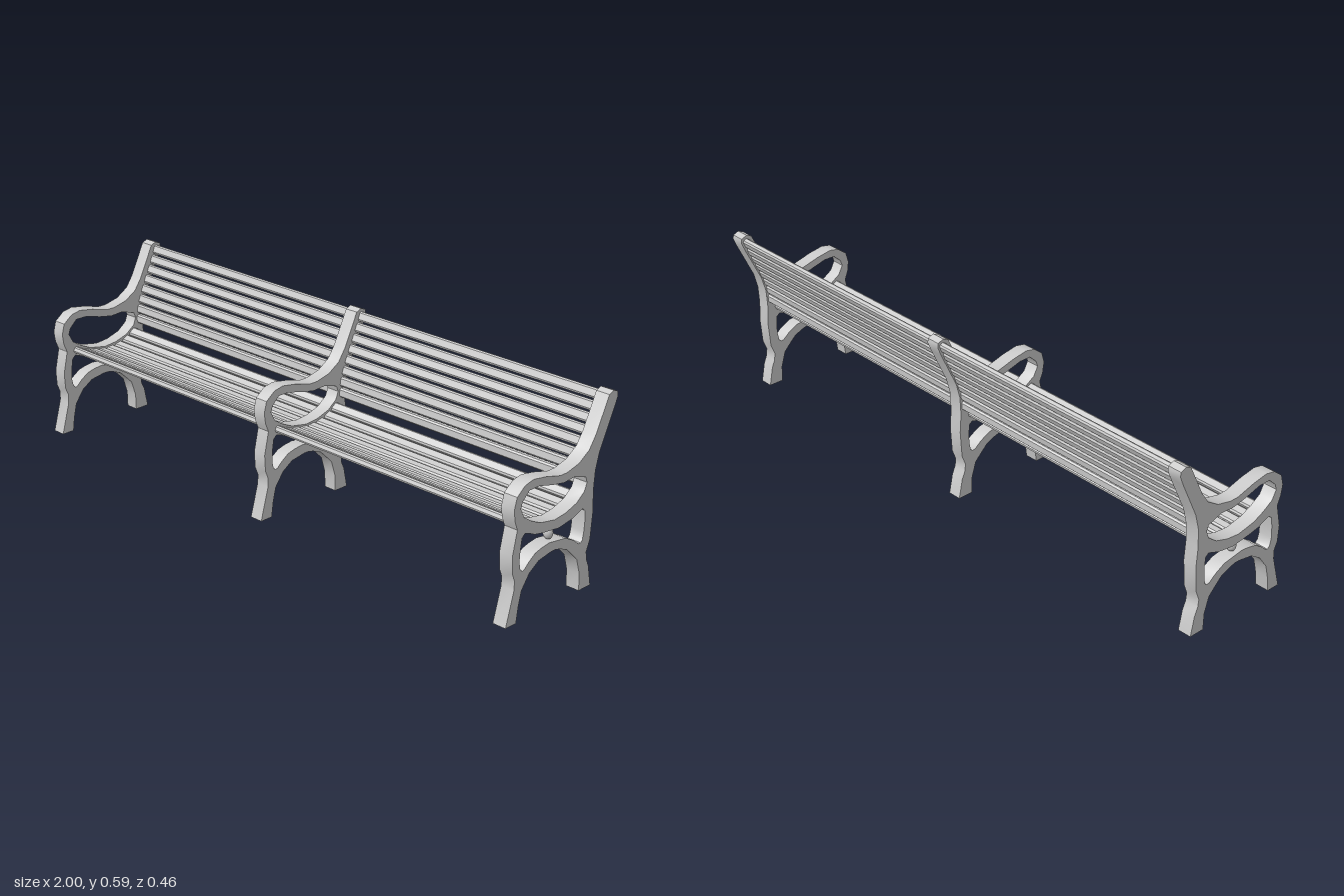
import * as THREE from 'three';
import { toCreasedNormals } from 'three/addons/utils/BufferGeometryUtils.js';

const material = new THREE.MeshStandardMaterial({ color: 0xcccccc });
const points = (list) => list.map(([z, y]) => new THREE.Vector2(z, y));

// Side profile of a cast frame, as [z, y]
const outline = [
  [0.23, 0], [0.185, 0], [0.178, 0.05], [0.167, 0.095], [0.135, 0.138], [0.096, 0.163],
  [0.042, 0.172], [0.026, 0.172], [0.004, 0.167], [-0.03, 0.153], [-0.051, 0.133],
  [-0.078, 0.106], [-0.094, 0.054], [-0.095, 0], [-0.148, 0], [-0.135, 0.065],
  [-0.124, 0.09], [-0.121, 0.115], [-0.135, 0.15], [-0.142, 0.238], [-0.138, 0.3],
  [-0.142, 0.362], [-0.156, 0.413], [-0.215, 0.535], [-0.228, 0.565], [-0.226, 0.579],
  [-0.206, 0.587], [-0.187, 0.579], [-0.135, 0.474], [-0.108, 0.435], [-0.065, 0.408],
  [-0.013, 0.396], [0.017, 0.396], [0.081, 0.413], [0.135, 0.422], [0.17, 0.415],
  [0.203, 0.39], [0.213, 0.354], [0.208, 0.319], [0.196, 0.29], [0.213, 0.215],
  [0.21, 0.162], [0.199, 0.135], [0.2, 0.106],
];
const armOpening = [
  [0.185, 0.349], [0.178, 0.369], [0.151, 0.394], [0.11, 0.394], [0.049, 0.378], [0, 0.369],
  [-0.047, 0.372], [-0.099, 0.356], [-0.106, 0.337], [-0.096, 0.312], [-0.063, 0.287],
  [-0.015, 0.272], [0.033, 0.267], [0.096, 0.279], [0.135, 0.297], [0.169, 0.319],
];
const lowerOpening = [
  [0.162, 0.269], [0.144, 0.263], [0.119, 0.251], [0.083, 0.244], [0.012, 0.235],
  [-0.049, 0.244], [-0.092, 0.26], [-0.103, 0.251], [-0.106, 0.215], [-0.104, 0.185],
  [-0.099, 0.16], [-0.092, 0.153], [-0.081, 0.154], [-0.056, 0.174], [-0.021, 0.192],
  [0.053, 0.203], [0.085, 0.199], [0.113, 0.192], [0.14, 0.174], [0.158, 0.158],
  [0.167, 0.154], [0.176, 0.163], [0.181, 0.187], [0.179, 0.226], [0.174, 0.258],
];

// Extrude a (z, y) shape along x, centred on x = 0
function extrudeAcross(shape, width) {
  const geometry = new THREE.ExtrudeGeometry(shape, { depth: width, bevelEnabled: false });
  geometry.translate(0, 0, -width / 2).rotateY(-Math.PI / 2);
  return toCreasedNormals(geometry, 0.6);
}

function addMesh(parent, name, geometry) {
  const mesh = new THREE.Mesh(geometry, material);
  mesh.name = name;
  parent.add(mesh);
  return mesh;
}

// Flat slat section with chamfered long edges
function slatShape(width, thickness, chamfer) {
  const w = width / 2, t = thickness / 2, c = chamfer;
  return new THREE.Shape(points([
    [-w + c, -t], [w - c, -t], [w, -t + c], [w, t - c],
    [w - c, t], [-w + c, t], [-w, t - c], [-w, -t + c],
  ]));
}

export function createModel() {
  const bench = new THREE.Group();
  bench.name = 'bench';
  const frameWidth = 0.046;

  // Three identical frames: both ends and the middle
  const frameShape = new THREE.Shape(points(outline));
  frameShape.holes.push(new THREE.Path(points(armOpening)), new THREE.Path(points(lowerOpening)));
  const frameGeometry = extrudeAcross(frameShape, frameWidth);
  const bossGeometry = new THREE.SphereGeometry(1, 16, 12).scale(0.016, 0.02, 0.0135);
  for (const [name, x] of [['right', -1], ['middle', 0], ['left', 1]]) {
    const frame = new THREE.Group();
    frame.name = name + 'Frame';
    frame.position.x = x * (1 - frameWidth / 2);
    addMesh(frame, 'castFrame', frameGeometry);
    // Small oval ornament between the seat rail and the leg arch
    addMesh(frame, 'ovalOrnament', bossGeometry).position.set(0, 0.22, 0.031);
    bench.add(frame);
  }

  // Slats spaced evenly along the seat and back curves, one bay on each side
  const bayLength = 1 - 1.5 * frameWidth + 0.004;
  function addSlats(name, path, count) {
    const curve = new THREE.SplineCurve(points(path));
    const pitch = curve.getLength() / count;
    const geometry = extrudeAcross(slatShape(pitch - 0.005, 0.021, 0.005), bayLength);
    const group = new THREE.Group();
    group.name = name + 's';
    for (let i = 0; i < count; i++) {
      const u = (i + 0.5) / count;
      const p = curve.getPointAt(u), t = curve.getTangentAt(u);
      for (const side of [-1, 1]) {
        const slat = addMesh(group, name, geometry);
        slat.position.set(side * 0.5 * (1 - frameWidth / 2), p.y, p.x);
        slat.rotation.x = -Math.atan2(t.y, t.x);
      }
    }
    bench.add(group);
  }
  addSlats('seatSlat', [
    [0.168, 0.292], [0.12, 0.271], [0.08, 0.26], [0.03, 0.252],
    [-0.03, 0.257], [-0.075, 0.275], [-0.107, 0.298],
  ], 8);
  addSlats('backSlat', [
    [-0.123, 0.312], [-0.128, 0.37], [-0.151, 0.435], [-0.185, 0.508], [-0.214, 0.576],
  ], 8);

  return bench;
}
